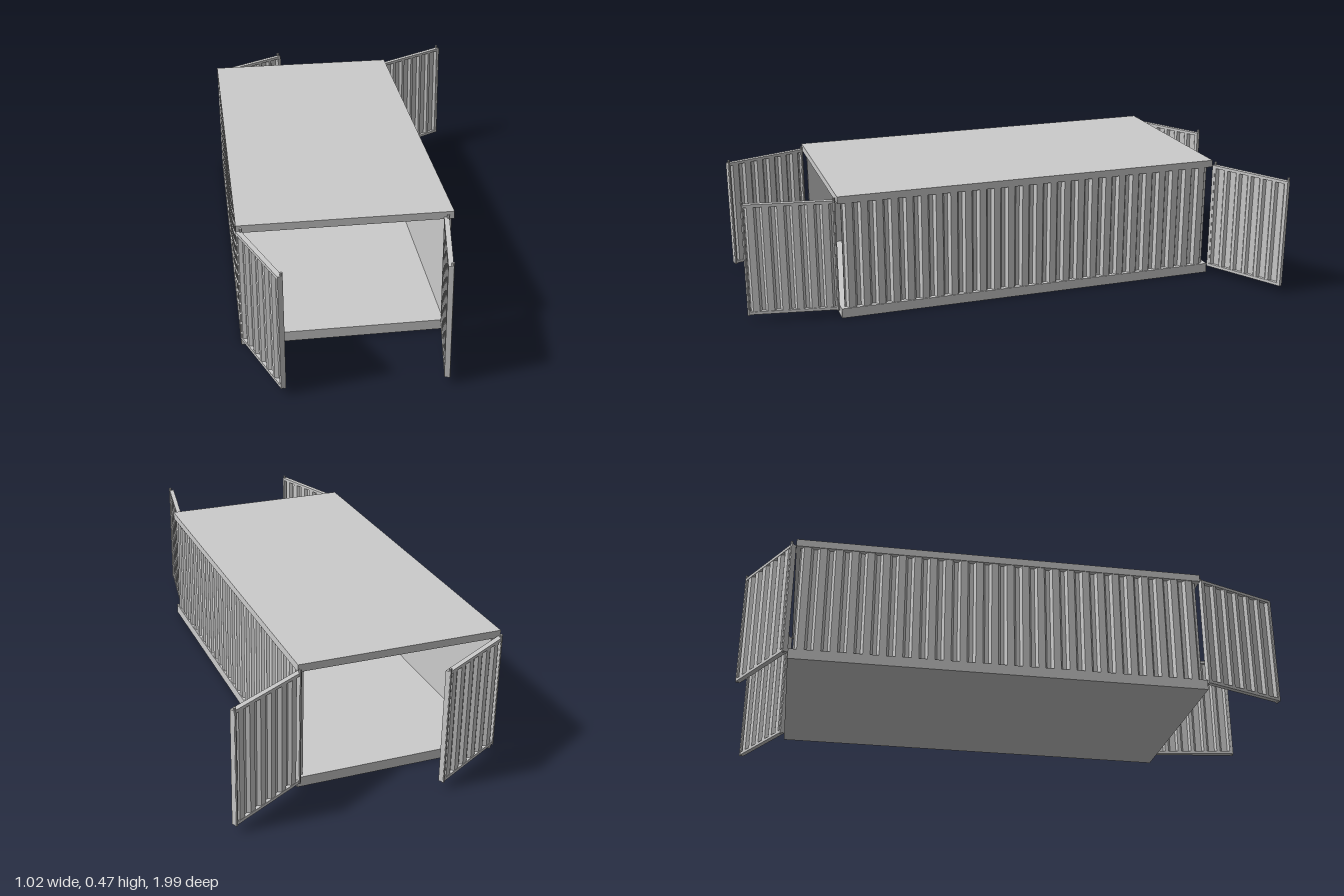
import * as THREE from 'three';

const material = new THREE.MeshStandardMaterial({ color: 0xcccccc, flatShading: true });

function box(parent, name, w, h, d, x, y, z) {
  const mesh = new THREE.Mesh(new THREE.BoxGeometry(w, h, d), material);
  mesh.name = name;
  mesh.position.set(x, y, z);
  parent.add(mesh);
  return mesh;
}

// Trapezoid ribs running along +x and standing up in y. Outer face toward -z.
// With flatBack the inner face is a plane, otherwise it follows the ribs.
function corrugated(length, height, ribs, depth, sheet, flatBack) {
  const pitch = length / ribs;
  const outer = [];
  for (let i = 0; i < ribs; i++) {
    const s = i * pitch;
    outer.push([s, 0], [s + pitch * 0.15, 0], [s + pitch * 0.3, depth], [s + pitch * 0.75, depth], [s + pitch * 0.9, 0]);
  }
  outer.push([length, 0]);
  const inner = flatBack
    ? [[length, -sheet], [0, -sheet]]
    : outer.map(([s, t]) => [s, t - sheet]).reverse();
  const shape = new THREE.Shape([...outer, ...inner].map(([s, t]) => new THREE.Vector2(s, t)));
  const geometry = new THREE.ExtrudeGeometry(shape, { depth: height, bevelEnabled: false });
  return geometry.rotateX(-Math.PI / 2);
}

// Door leaf: ribbed sheet in a frame, hinged at its local origin
function createDoor(name, hingeX, hingeZ, endX, endZ) {
  const door = new THREE.Group();
  door.name = name;
  const dx = endX - hingeX, dz = endZ - hingeZ;
  const length = Math.hypot(dx, dz);
  const panel = new THREE.Mesh(corrugated(length - 0.016, 0.402, 6, 0.011, 0.004, false), material);
  panel.name = 'doorPanel';
  panel.position.set(0.008, 0.037, 0.0035);
  door.add(panel);
  for (const y of [0.033, 0.442]) box(door, 'doorRail', length, 0.011, 0.018, length / 2, y, 0);
  for (const x of [0.005, length - 0.005]) {
    box(door, 'doorPost', 0.01, 0.419, 0.018, x, 0.2375, 0);
    const rod = new THREE.Mesh(new THREE.CylinderGeometry(0.005, 0.005, 0.433, 8), material);
    rod.name = 'doorRod';
    rod.position.set(x, 0.2415, -0.006);
    door.add(rod);
  }
  door.position.set(hingeX, 0, hingeZ);
  door.rotation.y = Math.atan2(-dz, dx);
  return door;
}

export function createModel() {
  const model = new THREE.Group();
  model.name = 'openContainer';

  // Floor and roof slabs
  const cx = -0.143, cz = -0.08, width = 0.74, length = 1.48;
  box(model, 'floor', width, 0.037, length, cx, 0.0185, cz);
  box(model, 'roof', width, 0.027, length, cx, 0.4535, cz);

  // Ribbed side walls, flat on the inside
  const wallLength = 1.45;
  for (const side of [-1, 1]) {
    const wall = new THREE.Mesh(corrugated(wallLength, 0.403, 26, 0.015, 0.008, true), material);
    wall.name = side > 0 ? 'leftWall' : 'rightWall';
    wall.position.set(cx + side * (width / 2 - 0.018), 0.037, cz - side * wallLength / 2);
    wall.rotation.y = -side * Math.PI / 2;
    model.add(wall);
  }

  // Two open doors at each end
  model.add(
    createDoor('frontRightDoor', -0.505, 0.662, -0.393, 0.975),
    createDoor('frontLeftDoor', 0.2, 0.662, 0.145, 0.99),
    createDoor('backRightDoor', -0.508, -0.828, -0.225, -0.992),
    createDoor('backLeftDoor', 0.224, -0.828, 0.507, -0.992)
  );
  return model;
}
